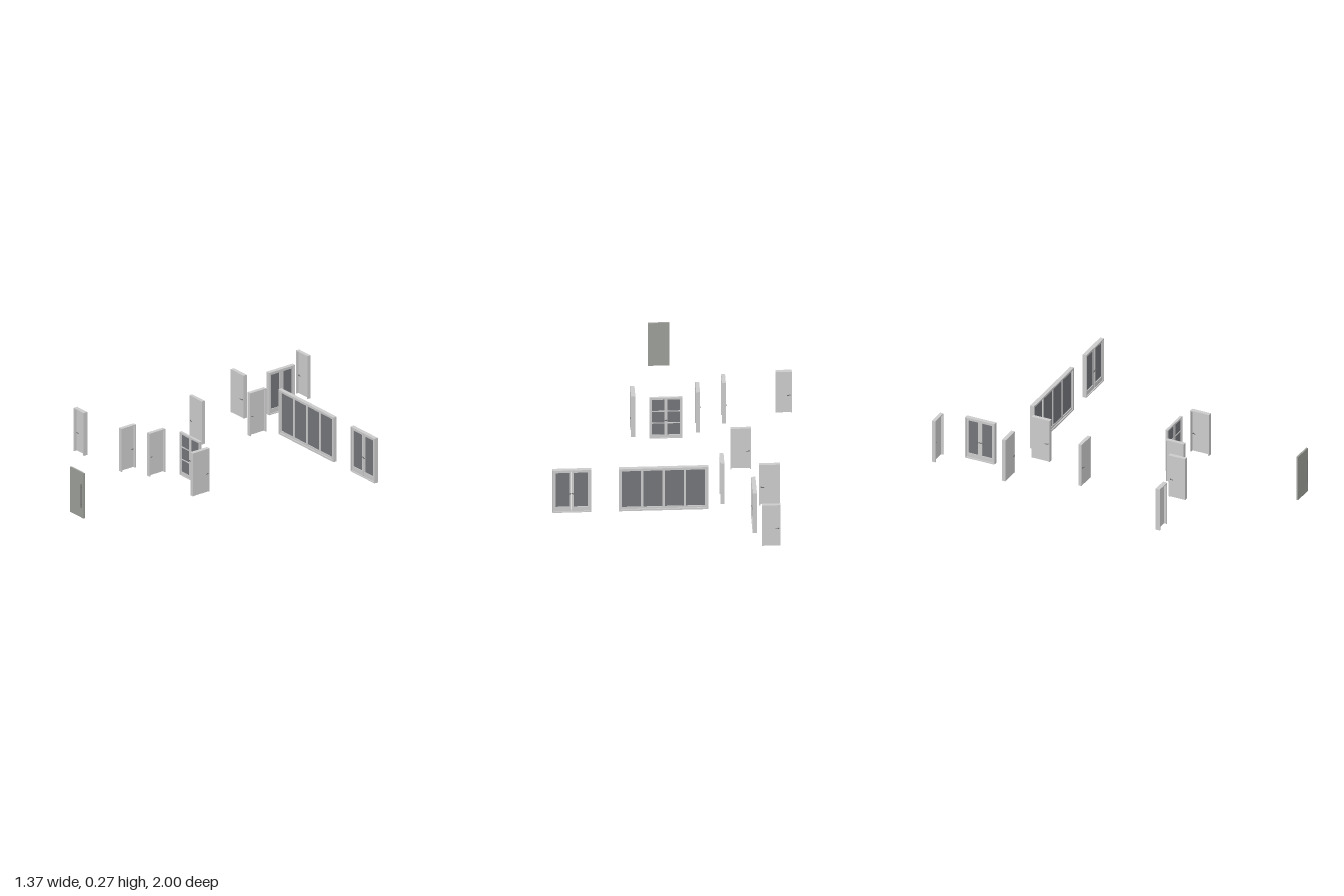
import * as THREE from 'three';

const mat = (name, color) => {
  const m = new THREE.MeshStandardMaterial({ color });
  m.name = name;
  return m;
};

export function createModel() {
  const paint = mat('light grey paint', 0xcccccc);
  const glass = mat('dark glass', 0x74757a);
  const metal = mat('dark metal', 0x6a6a6a);
  const slabPaint = mat('entrance grey', 0x9c9f9a);
  const root = new THREE.Group();

  // Box given by its limits on each axis
  function box(parent, name, m, x0, x1, y0, y1, z0, z1) {
    const mesh = new THREE.Mesh(new THREE.BoxGeometry(x1 - x0, y1 - y0, z1 - z0), m);
    mesh.position.set((x0 + x1) / 2, (y0 + y1) / 2, (z0 + z1) / 2);
    mesh.name = name;
    parent.add(mesh);
    return mesh;
  }

  // Unit group: width runs along local x, its face looks along local +z
  function unit(name, x, z, turn) {
    const g = new THREE.Group();
    g.name = name;
    g.position.set(x, 0, z);
    g.rotation.y = turn;
    root.add(g);
    return g;
  }

  // Lever on both faces: a rose, a neck and a lever pointing along dir
  function levers(g, x, y, zFront, zBack, dir) {
    for (const [z, s] of [[zFront, 1], [zBack, -1]]) {
      const rose = new THREE.Mesh(new THREE.CylinderGeometry(0.0035, 0.0035, 0.002, 16), metal);
      rose.rotation.x = Math.PI / 2;
      rose.position.set(x, y, z + s * 0.001);
      rose.name = 'handleRose';
      g.add(rose);
      const a = z, b = z + s * 0.005;
      box(g, 'handleNeck', metal, x - 0.001, x + 0.001, y - 0.001, y + 0.001, Math.min(a, b), Math.max(a, b));
      const end = x + dir * 0.017;
      box(g, 'handleLever', metal, Math.min(x, end), Math.max(x, end), y - 0.0015, y + 0.0015, b - 0.001, b + 0.001);
    }
  }

  // Surround with two posts and a head, plus an optional sill
  function surround(g, w, h, d, t, sill) {
    for (const s of [-1, 1]) {
      const a = s * w / 2, b = s * (w / 2 - t);
      box(g, 'framePost', paint, Math.min(a, b), Math.max(a, b), 0, h, -d / 2, d / 2);
    }
    box(g, 'frameHead', paint, -w / 2 + t, w / 2 - t, h - t, h, -d / 2, d / 2);
    if (sill) box(g, 'frameSill', paint, -w / 2 + t, w / 2 - t, 0, sill, -d / 2, d / 2);
  }

  // Plain door: leaf flush with the +z face of the surround
  function plainDoor(x, z, w, d, turn, side) {
    const g = unit('plainDoor', x, z, turn);
    const t = 0.006, h = 0.257;
    surround(g, w, h, d, t, 0);
    box(g, 'doorLeaf', paint, -w / 2 + t, w / 2 - t, 0.001, h - t, d / 2 - 0.009, d / 2 - 0.001);
    levers(g, side * (w / 2 - 0.011), 0.11, d / 2 - 0.001, d / 2 - 0.009, -side);
  }

  // Glazed leaf: stiles, rails, glazing bars and a pane
  function glazedLeaf(g, x0, x1, y0, y1, depth, stile, bottom, rows = 1) {
    const z = depth / 2;
    box(g, 'leafStile', paint, x0, x0 + stile, y0, y1, -z, z);
    box(g, 'leafStile', paint, x1 - stile, x1, y0, y1, -z, z);
    box(g, 'topRail', paint, x0 + stile, x1 - stile, y1 - stile, y1, -z, z);
    box(g, 'bottomRail', paint, x0 + stile, x1 - stile, y0, y0 + bottom, -z, z);
    box(g, 'glassPane', glass, x0 + stile, x1 - stile, y0 + bottom, y1 - stile, -0.0015, 0.0015);
    const step = (y1 - stile - y0 - bottom) / rows;
    for (let i = 1; i < rows; i++) {
      const y = y0 + bottom + i * step;
      box(g, 'glazingBar', paint, x0 + stile, x1 - stile, y - 0.003, y + 0.003, -z, z);
    }
  }

  // Pair of glazed leaves with levers at the meeting stiles
  function doubleDoor(name, x, z, w, h, d, turn, leafDepth, t, stile, bottom, rows) {
    const g = unit(name, x, z, turn);
    surround(g, w, h, d, t, 0.006);
    glazedLeaf(g, -w / 2 + t, -0.0005, 0.006, h - t, leafDepth, stile, bottom, rows);
    glazedLeaf(g, 0.0005, w / 2 - t, 0.006, h - t, leafDepth, stile, bottom, rows);
    for (const s of [-1, 1]) levers(g, s * stile * 0.4, h * 0.44, leafDepth / 2, -leafDepth / 2, s);
  }

  // Plain doors: x, z, width, depth, turn, handle side
  const q = Math.PI / 2;
  plainDoor(-0.502, -0.988, 0.102, 0.021, Math.PI, 1);
  plainDoor(-0.514, -0.549, 0.115, 0.022, 0, 1);
  plainDoor(-0.375, -0.151, 0.112, 0.02, 0, -1);
  plainDoor(-0.64, 0.453, 0.09, 0.025, Math.PI, 1);
  plainDoor(-0.256, -0.475, 0.112, 0.023, -q, 1);
  plainDoor(-0.161, 0.3, 0.11, 0.022, -q, 1);
  plainDoor(-0.307, 0.386, 0.1, 0.022, -q, -1);
  plainDoor(0.196, 0.274, 0.115, 0.024, q, 1);

  // Glazed double doors
  doubleDoor('wideGlazedDoor', 0.573, -0.573, 0.215, 0.267, 0.023, 0, 0.012, 0.006, 0.0125, 0.027, 1);
  doubleDoor('sideGlazedDoor', -0.418, -0.767, 0.18, 0.253, 0.024, q, 0.012, 0.006, 0.012, 0.025, 1);
  doubleDoor('barredGlazedDoor', 0.018, 0.2, 0.18, 0.257, 0.014, 0, 0.009, 0.005, 0.008, 0.016, 3);

  // Four-panel sliding glass wall
  const wall = unit('slidingGlassWall', 0.069, -0.573, 0);
  surround(wall, 0.491, 0.267, 0.023, 0.011, 0.01);
  const pw = (0.491 - 0.022) / 4;
  for (let i = 0; i < 4; i++) {
    const x0 = -0.2345 + i * pw;
    glazedLeaf(wall, x0, x0 + pw, 0.01, 0.256, 0.011, 0.0065, 0.012);
  }

  // Flat entrance slab with a long pull bar on two mounts
  const front = unit('entranceSlab', 0.018, 0.986, 0);
  box(front, 'slab', slabPaint, -0.059, 0.059, 0, 0.27, -0.005, 0.005);
  box(front, 'pullBar', metal, 0.044, 0.048, 0.063, 0.203, 0.009, 0.013);
  for (const y of [0.08, 0.183]) box(front, 'pullBarMount', metal, 0.0445, 0.0475, y, y + 0.003, 0.005, 0.0095);

  return root;
}
